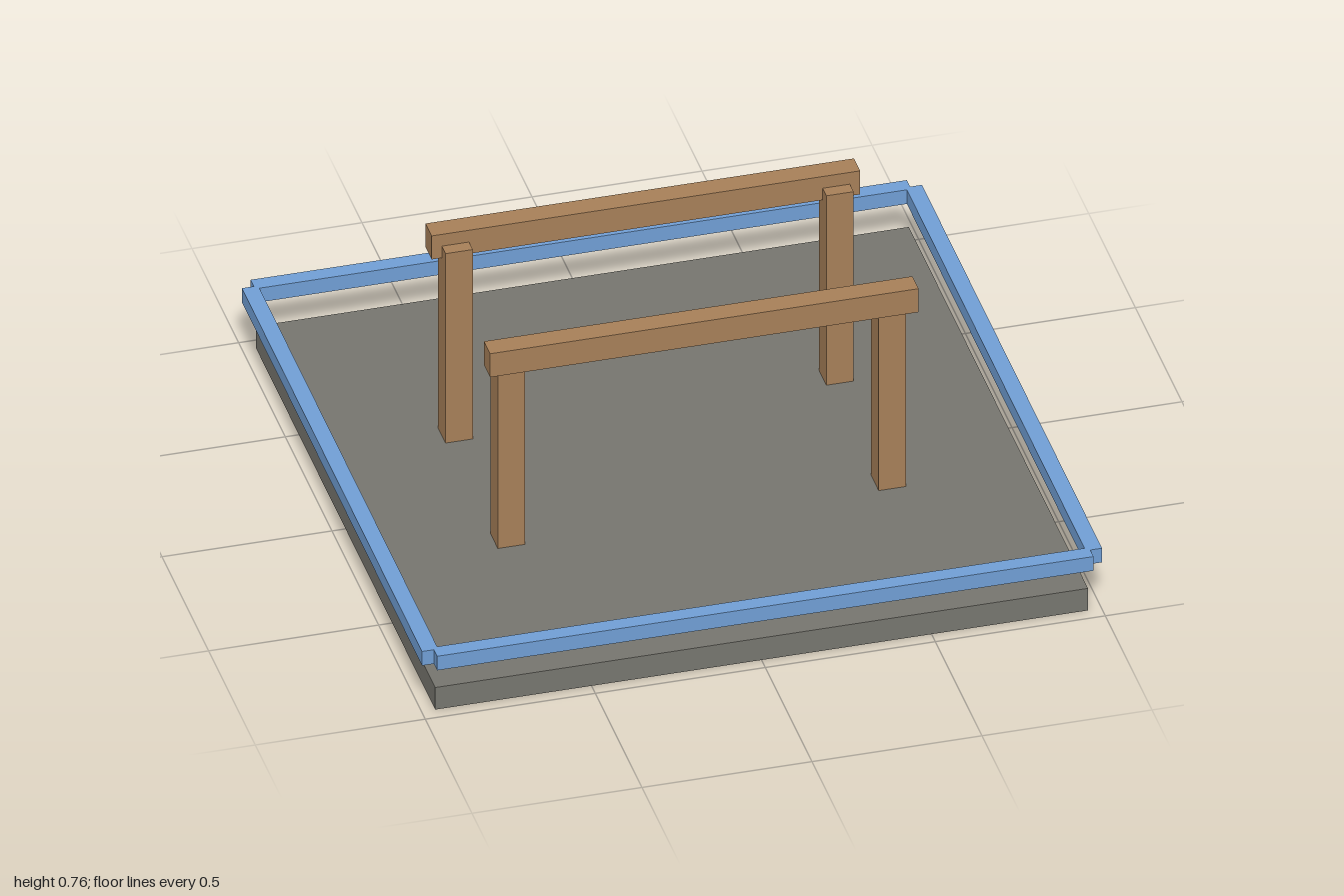
import * as THREE from 'three';

export function createModel() {
  const model = new THREE.Group();
  model.name = 'railedPlatform';

  const material = (name, color) => {
    const m = new THREE.MeshStandardMaterial({ color });
    m.name = name;
    return m;
  };
  const stone = material('stone grey', 0x76756e);
  const wood = material('wood brown', 0xa67f58);
  const blue = material('rail blue', 0x709ed4);

  const box = (name, mat, [w, h, d], [x, y, z]) => {
    const mesh = new THREE.Mesh(new THREE.BoxGeometry(w, h, d), mat);
    mesh.name = name;
    mesh.position.set(x, y, z);
    model.add(mesh);
  };

  // Ground slab
  box('slab', stone, [1.92, 0.075, 1.92], [0, 0.0375, 0]);

  for (const s of [-1, 1]) {
    const end = s > 0 ? 'front' : 'back';
    const side = s > 0 ? 'left' : 'right';

    // Floating border rails, notched at the corners
    box(`${end}BorderRail`, blue, [1.93, 0.048, 0.048], [0, 0.184, s * 0.976]);
    box(`${side}BorderRail`, blue, [0.048, 0.048, 1.93], [s * 0.976, 0.184, 0]);

    // Beam carried on the outer side of two posts
    box(`${end}Beam`, wood, [1.26, 0.08, 0.066], [0, 0.72, s * 0.313]);
    for (const x of [-0.56, 0.56]) {
      box(`${end}${x > 0 ? 'Left' : 'Right'}Post`, wood, [0.08, 0.645, 0.08], [x, 0.3975, s * 0.28]);
    }
  }

  return model;
}
